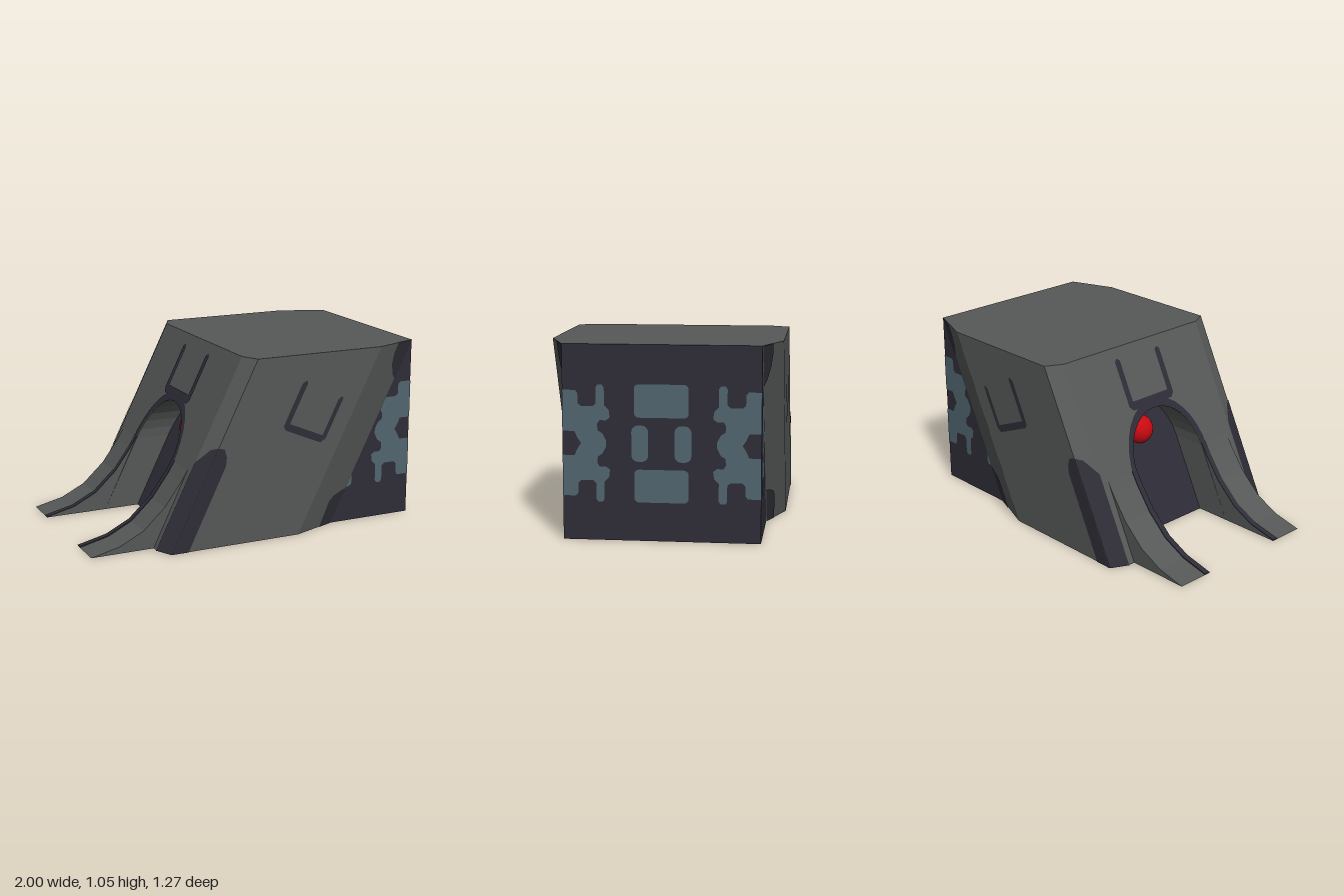
import * as THREE from 'three';

const H = 1.055, K = 0.525 / H;          // height and lean (x gained per unit of y)
const material = (name, color) => Object.assign(new THREE.MeshStandardMaterial({ color }), { name });
const v2 = (pts) => pts.map(([x, y]) => new THREE.Vector2(x, y));

export function createModel() {
  const model = new THREE.Group();
  model.name = 'leaningBlock';
  const grey = material('stoneGrey', 0x555857);
  const dark = material('darkSlate', 0x2e2d37);
  const blue = material('dustyBlue', 0x50656f);
  const red = material('eyeRed', 0xc80a12);

  const add = (name, geometry, mat) => {
    const mesh = new THREE.Mesh(geometry, mat);
    mesh.name = name;
    model.add(mesh);
    return mesh;
  };

  // Flat polygon carried into space by map(u, v); side = -1 mirrors it in z
  const panel = (name, mat, pts, map, side = 1) => {
    const g = new THREE.ShapeGeometry(new THREE.Shape(v2(pts)));
    const p = g.attributes.position;
    for (let i = 0; i < p.count; i++) {
      const [x, y, z] = map(p.getX(i), p.getY(i));
      p.setXYZ(i, x, y, z * side);
    }
    if (side < 0) g.index.array.reverse();
    g.computeVertexNormals();
    return add(name, g, mat);
  };
  const pair = (name, ...args) => {
    panel('left' + name, ...args, 1);
    panel('right' + name, ...args, -1);
  };

  // Leaning wall between two plan points, u from 0 to 1, pushed outwards by off
  const wall = (a, b, off = 0) => {
    const dx = b[0] - a[0], dz = b[1] - a[1], l = Math.hypot(dx, dz);
    return (u, y) => [a[0] + dx * u - dz / l * off + K * y, y, a[1] + dz * u + dx / l * off];
  };
  const slope = (s, off = 0) => (z, y) => [s + K * y - off, y, z];
  const rect = (x0, x1, y0, y1) => [[x0, y0], [x1, y0], [x1, y1], [x0, y1]];
  const rounded = (x0, x1, y0, y1, r) => {
    const pts = [];
    [[x1 - r, y1 - r], [x0 + r, y1 - r], [x0 + r, y0 + r], [x1 - r, y0 + r]].forEach(([cx, cy], q) => {
      for (let i = 0; i <= 4; i++) {
        const a = (q + i / 4) * Math.PI / 2;
        pts.push([cx + r * Math.cos(a), cy + r * Math.sin(a)]);
      }
    });
    return pts;
  };
  const arch = (w, base, top) => Array.from({ length: 17 }, (_, i) => {
    const a = Math.PI * (1 - i / 16);
    return [w * Math.cos(a), base + (top - base) * Math.sin(a)];
  });

  // Body shell
  const A = [-0.63, 0.53], B = [-0.58, 0.63], C = [0.21, 0.63], D = [0.475, 0.53];
  const full = rect(0, 1, 0, H);
  const opening = [[-0.27, 0], ...arch(0.27, 0.42, 0.70), [0.27, 0]];
  panel('frontSlope', grey, [[-0.53, 0], ...opening, [0.53, 0], [0.53, H], [-0.53, H]], slope(-0.63));
  pair('FrontChamfer', grey, full, wall(A, B));
  pair('SideWall', grey, full, wall(B, C));
  pair('RearChamfer', grey, full, wall(C, D));
  pair('RearSideWall', dark, [[D[0], 0], [1, 0], [1, H]], (x, y) => [x, y, 0.53]);
  panel('rearWall', dark, rect(-0.53, 0.53, 0, H), (u, y) => [1, y, -u]);
  const plan = [A, B, C, D];
  const flip = ([x, z]) => [x, -z];
  panel('topFace', grey, [...plan, ...[...plan].reverse().map(flip)].map(([s, z]) => [s + K * H, -z]),
    (x, v) => [x, H, -v]);
  const half = [[-0.42, 0], [-0.42, 0.27], [-0.63, 0.27], A, B, C, D, [1, 0.53]];
  panel('underside', grey, [...half, ...half.slice(1).reverse().map(flip)], (x, z) => [x, 0, z]);

  // Arched recess with its back wall and eye
  panel('recessBack', dark, opening, slope(-0.42));
  const tunnel = new THREE.PlaneGeometry(1, 1, opening.length - 1, 1);
  const tp = tunnel.attributes.position;
  for (let i = 0; i < tp.count; i++) {
    const [z, y] = opening[i % opening.length];
    tp.setXYZ(i, (i < opening.length ? -0.63 : -0.42) + K * y, y, z);
  }
  const lining = tunnel.toNonIndexed();
  lining.computeVertexNormals();
  add('recessLining', lining, grey);
  panel('recessRim', dark, [...arch(0.305, 0.40, 0.75), ...arch(0.27, 0.42, 0.70).reverse()], slope(-0.63, 0.005));
  const eye = add('eye', new THREE.SphereGeometry(0.088, 24, 16), red);
  eye.position.set(-0.42 + K * 0.525, 0.525, 0);

  // Curved legs with a dark strip on the inner edge
  const curve = [[-1, 0], [-0.83, 0.04], [-0.69, 0.11], [-0.56, 0.23], [-0.46, 0.365], [-0.42, 0.43]];
  const extrude = (pts, depth) =>
    new THREE.ExtrudeGeometry(new THREE.Shape(v2(pts)), { depth, bevelEnabled: false });
  const legProfile = [...curve, [-0.63, 0]];
  const strip = [...curve, ...curve.map(([x, y]) => [x, y + 0.006]).reverse()];
  for (const [side, sign] of [['left', 1], ['right', -1]]) {
    add(side + 'Leg', extrude(legProfile, 0.22), grey).position.z = sign > 0 ? 0.27 : -0.49;
    add(side + 'LegStrip', extrude(strip, 0.035), dark).position.z = sign > 0 ? 0.27 : -0.305;
  }

  // Dark painted patches on the corners
  const onSide = (pts) => pts.map(([s, y]) => [(s - B[0]) / (C[0] - B[0]), y]);
  pair('FrontChamferPatch', dark, [[0, 0], [1, 0], [1, 0.575], [0.6, 0.56], [0, 0.48]], wall(A, B, 0.004));
  pair('FrontSidePatch', dark, onSide([[-0.58, 0], [-0.48, 0], [-0.485, 0.47], [-0.505, 0.52],
    [-0.54, 0.565], [-0.58, 0.575]]), wall(B, C, 0.004));
  pair('LowerRearPatch', dark, [[0.64, 0], [1, 0], [1, 0.2], [0.9, 0.2], [0.66, 0.18], [0.59, 0.15]],
    wall(C, D, 0.004));
  pair('UpperRearPatch', dark, [[1, 0.83], [1, H], [0.55, H], [0.55, 1.0], [0.65, 0.93], [0.85, 0.86]],
    wall(C, D, 0.004));

  // U-shaped grooves on the sides and front slope
  pair('SideGroove', dark, onSide([[-0.22, 0.89], [-0.22, 0.655], [-0.195, 0.63], [0.075, 0.535], [0.1, 0.555],
    [0.1, 0.78], [0.085, 0.79], [0.07, 0.775], [0.07, 0.575], [-0.185, 0.665], [-0.185, 0.89], [-0.2, 0.905]]),
    wall(B, C, 0.004));
  const u = [[0.14, 0.765], [0.14, 0.985], [0.16, 1.0], [0.178, 0.985], [0.178, 0.745], [0.155, 0.72]];
  panel('frontGroove', dark, [...u, ...[...u].reverse().map(([z, y]) => [-z, y])], slope(-0.63, 0.007));

  // Blue plates; d is the distance from the rear corner
  const upper = [[0, 0.59], [0, 0.81], [0.07, 0.81], [0.083, 0.795], [0.083, 0.74], [0.1, 0.725], [0.165, 0.725],
    [0.18, 0.74], [0.18, 0.825], [0.19, 0.84], [0.215, 0.84], [0.225, 0.825], [0.225, 0.73], [0.25, 0.705],
    [0.255, 0.665], [0.235, 0.65], [0.2, 0.65], [0.187, 0.63], [0.19, 0.595], [0.215, 0.58], [0.235, 0.54]];
  const notch = [[0.065, 0.46], [0.08, 0.495], [0.1, 0.525], [0.08, 0.555], [0.065, 0.59]];
  const cog = [...upper, ...[...upper].reverse().map(([d, y]) => [d, 1.05 - y]), ...notch];
  const plates = [
    ['Cog', cog],
    ['FarCog', cog.map(([d, y]) => [1.06 - d, y])],
    ['UpperPlate', rounded(0.385, 0.675, 0.667, 0.845, 0.025)],
    ['LowerPlate', rounded(0.385, 0.675, 0.21, 0.388, 0.025)],
    ['NearPlate', rounded(0.37, 0.46, 0.43, 0.625, 0.035)],
    ['FarPlate', rounded(0.60, 0.69, 0.43, 0.625, 0.035)],
  ];
  // Trim a plate to the leaning edge of the triangular side wall
  const trim = (pts) => {
    const room = ([d, y]) => 0.525 - K * y - d, out = [];
    pts.forEach((p, i) => {
      const q = pts[(i + 1) % pts.length], a = room(p), b = room(q);
      if (a >= 0) out.push(p);
      if (a * b < 0) out.push([0, 1].map((k) => p[k] + (q[k] - p[k]) * a / (a - b)));
    });
    return out;
  };
  for (const [name, pts] of plates) {
    panel('rear' + name, blue, pts, (d, y) => [1, y, 0.53 - d]).position.x = 0.003;
    const cut = trim(pts).map(([d, y]) => [1 - d, y]);
    if (cut.length > 2) pair('Side' + name, blue, cut, (x, y) => [x, y, 0.533]);
  }
  return model;
}
